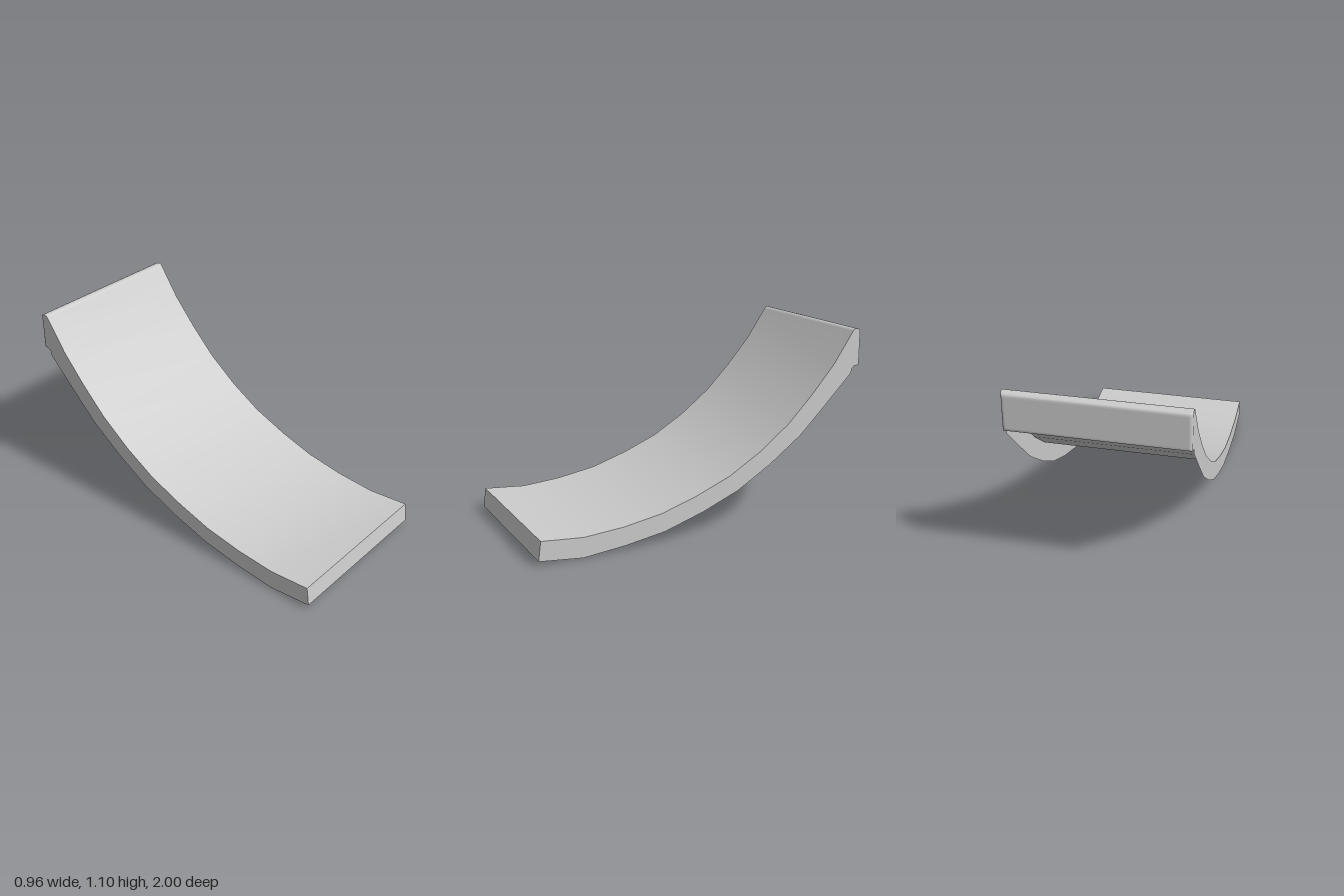
import * as THREE from 'three';

const HALF = 0.48; // half width of the slide
const material = new THREE.MeshStandardMaterial({ color: 0xcccccc, side: THREE.DoubleSide });

// Profiles as [z, y], running from the front to the back
const deckLine = [
  [0.985, 0.135], [0.745, 0.115], [0.515, 0.133], [0.285, 0.172], [0.07, 0.24], [-0.14, 0.325],
  [-0.335, 0.44], [-0.52, 0.58], [-0.675, 0.735], [-0.82, 0.9], [-0.945, 1.083],
];
const lowerLine = [
  [1, 0.025], [0.75, 0], [0.505, 0.025], [0.265, 0.065], [0.03, 0.14], [-0.19, 0.23],
  [-0.4, 0.355], [-0.6, 0.5], [-0.765, 0.66], [-0.94, 0.835], [-0.946, 0.862], [-0.96, 0.875],
];
const lipLine = [
  [-0.945, 1.083], [-0.953, 1.092], [-0.966, 1.095], [-0.985, 1.091], [-0.996, 1.085], [-1, 1.077],
  [-1, 1.065], [-1, 0.9], [-1, 0.888], [-0.996, 0.882], [-0.985, 0.878],
];

// Sheet swept across x; columns are [x, furthest back z allowed]
function sheet(name, rows, columns) {
  const positions = [], index = [], n = columns.length;
  rows.forEach(([z, y]) => columns.forEach(([x, limit]) => positions.push(x, y, Math.max(z, limit))));
  for (let i = 0; i < rows.length - 1; i++) {
    for (let j = 0; j < n - 1; j++) {
      const a = i * n + j, c = a + n;
      index.push(a, a + 1, c, a + 1, c + 1, c);
    }
  }
  const geometry = new THREE.BufferGeometry();
  geometry.setAttribute('position', new THREE.Float32BufferAttribute(positions, 3));
  geometry.setIndex(index);
  geometry.computeVertexNormals();
  const mesh = new THREE.Mesh(geometry, material);
  mesh.name = name;
  return mesh;
}

export function createModel() {
  const group = new THREE.Group();
  group.name = 'slide';
  const straight = [[-HALF, -1], [HALF, -1]];

  // Curved sliding surface, open underneath
  group.add(sheet('deck', deckLine, straight));

  // Front end wall
  group.add(sheet('frontWall', [lowerLine[0], deckLine[0]], straight));

  // Back lip with softened top, bottom and side edges
  const left = [[HALF - 0.02, -1], [HALF - 0.012, -1], [HALF - 0.004, -0.995], [HALF, -0.985]];
  const right = left.map(([x, z]) => [-x, z]).reverse();
  group.add(sheet('backLip', lipLine, [...right, ...left]));

  // Thin side walls, mirrored
  const lipEdge = lipLine.slice(1).map(([z, y]) => [Math.max(z, -0.985), y]);
  const outline = [...lowerLine, ...lipEdge.reverse(), ...deckLine.slice().reverse()];
  const shape = new THREE.Shape(outline.map(([z, y]) => new THREE.Vector2(-z, y)));
  const wall = new THREE.ShapeGeometry(shape).rotateY(Math.PI / 2).translate(HALF, 0, 0);
  for (const side of [1, -1]) {
    const mesh = new THREE.Mesh(wall, material);
    mesh.name = side > 0 ? 'leftSideWall' : 'rightSideWall';
    mesh.scale.x = side;
    group.add(mesh);
  }
  return group;
}
